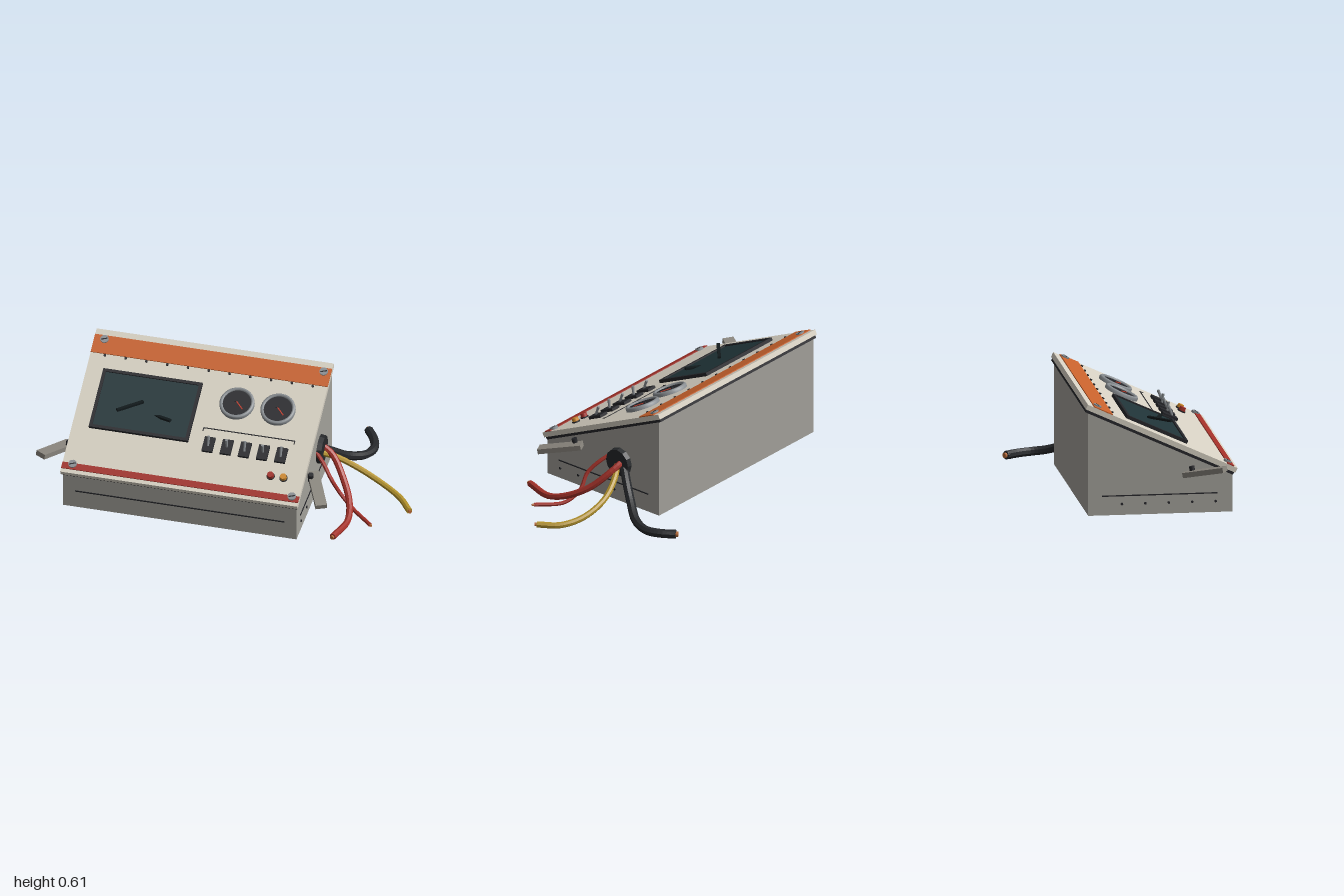
import * as THREE from 'three';

const mat = (color, flatShading = false) => new THREE.MeshStandardMaterial({ color, flatShading });
const C = {
  body: mat(0xa3a19a), panel: mat(0xd6d0c2), dark: mat(0x25262a), rubber: mat(0x26282b, true),
  orange: mat(0xc8622c), red: mat(0xa23028), amber: mat(0xd08a2c), glass: mat(0x203438),
  steel: mat(0x8b9094), grip: mat(0x8a867e), copper: mat(0xb86a35), redWire: mat(0xa5322a, true),
  yellow: mat(0xb3922c, true), shard: mat(0x121a1c), needle: mat(0xc03a28),
};

function add(parent, name, geo, material, x = 0, y = 0, z = 0) {
  const m = new THREE.Mesh(geo, material);
  m.name = name;
  m.position.set(x, y, z);
  parent.add(m);
  return m;
}
const box = (w, h, d) => new THREE.BoxGeometry(w, h, d);
const cyl = (r, h, n = 20, r2 = r) => new THREE.CylinderGeometry(r2, r, h, n);

// Cable with closed ends and a bare copper tip
function cable(parent, name, radius, material, pts) {
  const g = new THREE.Group();
  g.name = name;
  parent.add(g);
  const curve = new THREE.CatmullRomCurve3(pts.map(p => new THREE.Vector3(...p)));
  add(g, name + 'Sleeve', new THREE.TubeGeometry(curve, 28, radius, 8), material);
  const end = curve.getPoint(1), dir = curve.getTangent(1);
  const up = new THREE.Vector3(0, 1, 0);
  const cap = add(g, name + 'Cap', cyl(radius, 0.006, 8), material, ...end);
  const tip = add(g, name + 'Tip', cyl(radius * 0.6, 0.024, 8), C.copper, ...end);
  cap.quaternion.setFromUnitVectors(up, dir);
  tip.quaternion.copy(cap.quaternion);
  tip.position.addScaledVector(dir, 0.004);
}

// Bar handle running between two points, with its clamp knob
function handle(parent, name, from, to) {
  const a = new THREE.Vector3(...from), b = new THREE.Vector3(...to);
  const g = new THREE.Group();
  g.name = name;
  g.position.copy(a).lerp(b, 0.5);
  g.lookAt(b);
  parent.add(g);
  const len = a.distanceTo(b);
  add(g, name + 'Bar', box(0.062, 0.028, len), C.grip);
  add(g, name + 'Knob', cyl(0.015, 0.05, 10), C.dark, from[0] > 0 ? -0.02 : 0.02, 0.012, -len * 0.33);
}

export function createModel() {
  const root = new THREE.Group();
  root.name = 'controlConsole';
  const midX = -0.19, tilt = 0.432;

  // Wedge-shaped case
  const side = new THREE.Shape();
  [[0.5, 0.01], [0.5, 0.215], [-0.275, 0.572], [-0.275, 0.01]].forEach(([z, y], i) =>
    i ? side.lineTo(z, y) : side.moveTo(z, y));
  side.closePath();
  const body = add(root, 'case', new THREE.ExtrudeGeometry(side, { depth: 1.28, bevelEnabled: false }), C.body, 0.45);
  body.rotation.y = -Math.PI / 2;

  // Grooves and side screws
  add(root, 'frontGroove', box(1.15, 0.006, 0.008), C.dark, midX, 0.115, 0.5);
  for (const [label, x] of [['left', 0.45], ['right', -0.83]]) {
    add(root, label + 'Groove', box(0.008, 0.006, 0.62), C.dark, x, 0.115, 0.11);
    for (let i = 0; i < 5; i++) {
      const s = add(root, label + 'SideScrew', cyl(0.007, 0.012, 8), C.dark, x, 0.07, 0.41 - i * 0.126);
      s.rotation.z = Math.PI / 2;
    }
  }

  // Sloping control panel: local y is its normal, local z runs down the slope
  const panel = new THREE.Group();
  panel.name = 'controlPanel';
  panel.position.set(midX, 0.433, 0.125);
  panel.rotation.x = tilt;
  root.add(panel);
  add(panel, 'panelPlate', box(1.3, 0.028, 0.886), C.panel, 0, -0.014, 0);
  add(panel, 'panelGasket', box(1.286, 0.016, 0.872), C.dark, 0, -0.036, 0);
  add(panel, 'topBand', box(1.3, 0.006, 0.11), C.orange, 0, 0.002, -0.352);
  add(panel, 'bottomBand', box(1.3, 0.006, 0.038), C.red, 0, 0.002, 0.402);
  for (let i = 0; i < 11; i++) add(panel, 'rivet', cyl(0.007, 0.01, 8), C.dark, -0.57 + i * 0.114, 0.002, -0.288);

  // Slotted corner screws
  for (const x of [-0.593, 0.61]) for (const z of [-0.382, 0.39]) {
    add(panel, 'cornerScrew', cyl(0.023, 0.012, 14), C.steel, x, 0.006, z);
    add(panel, 'screwSlot', box(0.036, 0.003, 0.006), C.dark, x, 0.012, z).rotation.y = 0.35;
  }

  // Screen with frame and loose splinters
  const frame = new THREE.Shape([[-0.272, -0.18], [0.272, -0.18], [0.272, 0.18], [-0.272, 0.18]].map(p => new THREE.Vector2(...p)));
  frame.holes.push(new THREE.Path([[-0.255, -0.163], [-0.255, 0.163], [0.255, 0.163], [0.255, -0.163]].map(p => new THREE.Vector2(...p))));
  const rim = add(panel, 'screenFrame', new THREE.ExtrudeGeometry(frame, { depth: 0.018, bevelEnabled: false }), C.dark, -0.285, 0, -0.023);
  rim.rotation.x = -Math.PI / 2;
  add(panel, 'screenGlass', box(0.515, 0.012, 0.33), C.glass, -0.285, 0.005, -0.023);
  const shardA = add(root, 'screenSplinter', box(0.16, 0.012, 0.018), C.shard, -0.55, 0.464, 0.15);
  shardA.rotation.y = 0.74;
  const shardB = add(root, 'screenSplinter', box(0.1, 0.012, 0.018), C.shard, -0.365, 0.43, 0.17);
  shardB.rotation.set(0, -0.4, 0.1);

  // Round gauges
  for (const x of [0.195, 0.42]) {
    const gauge = new THREE.Group();
    gauge.name = 'gauge';
    gauge.position.set(x, 0, -0.115);
    panel.add(gauge);
    const bezel = [[0.094, 0], [0.094, 0.016], [0.088, 0.023], [0.078, 0.023], [0.076, 0.012]];
    const ring = add(gauge, 'gaugeBezel', new THREE.LatheGeometry(bezel.map(p => new THREE.Vector2(...p)), 28), C.steel);
    ring.material = C.steel.clone();
    ring.material.side = THREE.DoubleSide;
    add(gauge, 'gaugeFace', cyl(0.079, 0.014, 28), C.dark, 0, 0.007, 0);
    add(gauge, 'gaugeNeedle', box(0.065, 0.004, 0.006), C.needle, 0.014, 0.016, 0.01).rotation.y = -0.8;
    add(gauge, 'needleHub', cyl(0.008, 0.006, 10), C.dark, -0.008, 0.017, -0.013);
  }

  // Toggle switches below a thin bracket line
  add(panel, 'bracketLine', box(0.5, 0.004, 0.005), C.dark, 0.3, 0.001, 0.055);
  for (const x of [0.05, 0.55]) add(panel, 'bracketEnd', box(0.005, 0.004, 0.02), C.dark, x, 0.001, 0.064);
  for (let i = 0; i < 5; i++) {
    const x = 0.1 + i * 0.0995;
    add(panel, 'switchBase', box(0.058, 0.016, 0.088), C.dark, x, 0.007, 0.155);
    const lever = add(panel, 'switchLever', cyl(0.006, 0.055, 8, 0.008), C.steel, x, 0.035, 0.148);
    lever.rotation.x = -tilt + (i % 2 ? 0.15 : -0.35);
  }

  // Push buttons
  [[0.47, C.red], [0.54, C.amber]].forEach(([x, m]) => {
    add(panel, 'buttonCollar', cyl(0.022, 0.008, 16), C.dark, x, 0.003, 0.286);
    add(panel, 'pushButton', cyl(0.019, 0.026, 16, 0.017), m, x, 0.013, 0.286);
  });

  // Side handles
  handle(root, 'leftHandle', [0.475, 0.27, 0.24], [0.575, 0.215, 0.455]);
  handle(root, 'rightHandle', [-0.855, 0.225, 0.24], [-0.97, 0.272, 0.44]);

  // Cable outlet and cables lying on the ground
  const grommet = add(root, 'cableGrommet', cyl(0.081, 0.035, 12, 0.076), C.rubber, 0.46, 0.248, -0.005);
  grommet.rotation.z = -Math.PI / 2;
  cable(root, 'thickRedCable', 0.018, C.redWire, [[0.45, 0.26, -0.03], [0.52, 0.22, -0.01], [0.6, 0.13, 0.07],
    [0.66, 0.065, 0.18], [0.68, 0.03, 0.3], [0.64, 0.035, 0.46]]);
  cable(root, 'thinRedCable', 0.011, C.redWire, [[0.45, 0.27, 0.06], [0.5, 0.23, 0.1], [0.55, 0.17, 0.14],
    [0.6, 0.09, 0.145], [0.68, 0.03, 0.185], [0.8, 0.025, 0.295]]);
  cable(root, 'yellowCable', 0.017, C.yellow, [[0.45, 0.24, 0.015], [0.53, 0.19, -0.035], [0.65, 0.115, -0.062],
    [0.79, 0.055, -0.035], [0.9, 0.03, 0.03], [0.975, 0.03, 0.13]]);
  cable(root, 'blackCable', 0.024, C.rubber, [[0.45, 0.235, -0.03], [0.5, 0.18, -0.09], [0.56, 0.105, -0.17],
    [0.635, 0.052, -0.27], [0.662, 0.036, -0.36], [0.64, 0.034, -0.44], [0.595, 0.034, -0.51]]);
  return root;
}
